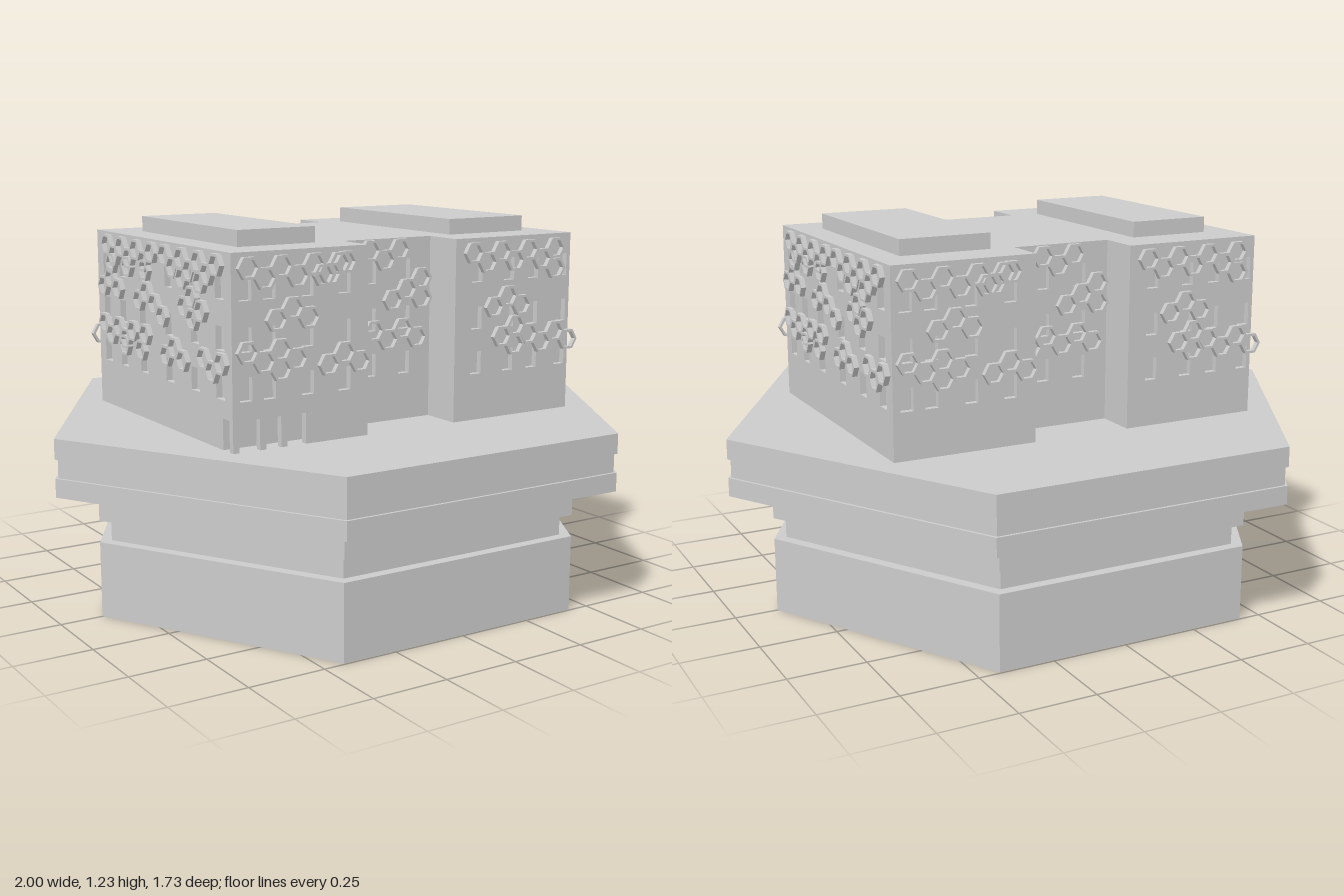
import * as THREE from 'three';
import { mergeGeometries } from 'three/addons/utils/BufferGeometryUtils.js';

const mat = new THREE.MeshStandardMaterial({ color: 0xcccccc, flatShading: true });
const W = 0.635, D = 0.467, NX = 0.165, NZ = 0.33; // wing half width, half depth, notch half width, notch depth
const FLOOR = 0.595, LOW = 0.7, EAVE = 1.17, ROOF = 1.18;
const T = 0.02;   // facade thickness, equal to the window recess
const HEX = 0.037;

function add(parent, name, geometry, x = 0, y = 0, z = 0) {
  const mesh = new THREE.Mesh(geometry, mat);
  mesh.name = name;
  mesh.position.set(x, y, z);
  parent.add(mesh);
  return mesh;
}

function polygon(points, Type = THREE.Shape) {
  return new Type(points.map(([x, y]) => new THREE.Vector2(x, y)));
}

const rect = (x0, y0, x1, y1) => [[x0, y0], [x1, y0], [x1, y1], [x0, y1]];

const hexagon = r => Array.from({ length: 6 }, (_, i) =>
  [r * Math.cos(i * Math.PI / 3), r * Math.sin(i * Math.PI / 3)]);

// Plan outline given as [x, -z], raised from y0 to y1
function storey(points, y0, y1) {
  return new THREE.ExtrudeGeometry(polygon(points), { depth: y1 - y0, bevelEnabled: false })
    .rotateX(-Math.PI / 2).translate(0, y0, 0);
}

// H-shaped plan, inset on the decorated faces; porch cuts the front right corner
function hPlan(inset, porch = 0) {
  const w = W - inset, d = D - inset, n = NZ - inset;
  const corner = porch ? [[-w, -d + porch], [-0.365, -d + porch], [-0.365, -d]] : [[-w, -d]];
  return [...corner, [-NX, -d], [-NX, -n], [NX, -n], [NX, -d], [w, -d],
    [w, d], [NX, d], [NX, n], [-NX, n], [-NX, d], [-w, d]];
}

// Honeycomb chains: start u, y, then steps to the right going up (u) or down (d)
function honeycomb(chains) {
  const shape = polygon(hexagon(HEX));
  shape.holes.push(polygon(hexagon(HEX * 0.76), THREE.Path));
  const ring = new THREE.ExtrudeGeometry(shape, { depth: 0.017, bevelEnabled: false });
  const rings = [];
  for (const [u, y, steps] of chains) {
    let px = u, py = y;
    rings.push(ring.clone().translate(px, py, 0));
    for (const s of steps) {
      px += HEX * 1.5;
      py += (s === 'u' ? 1 : -1) * HEX * Math.sqrt(3) / 2;
      rings.push(ring.clone().translate(px, py, 0));
    }
  }
  return mergeGeometries(rings);
}

// Wall slab with recessed windows in three rows, plus its honeycomb relief
function facade(parent, name, u0, u1, out, cols, winW, chains) {
  const wall = polygon(rect(u0, LOW, u1, EAVE));
  for (const y of [0.745, 0.89, 1.04]) {
    for (const u of cols) {
      wall.holes.push(polygon(rect(u - winW / 2, y, u + winW / 2, y + 0.072), THREE.Path));
    }
  }
  add(parent, name + 'Wall', new THREE.ExtrudeGeometry(wall, { depth: T, bevelEnabled: false }), 0, 0, out - T);
  add(parent, name + 'Honeycomb', honeycomb(chains), 0, 0, out);
}

const leftChains = [
  [-0.583, 1.134, 'dududu'], [-0.33, 1.10, 'u'], [-0.49, 0.978, 'ud'],
  [-0.588, 0.89, 'dud'], [-0.476, 0.83, ''], [-0.31, 0.83, 'ud'],
];
const middleChains = [
  [-0.07, 1.145, 'du'], [0.016, 0.985, 'ud'], [0.07, 1.017, 'u'], [-0.112, 0.86, 'udud'],
];
const rightChains = [
  [0.23, 1.134, 'dududu'], [0.51, 1.10, 'd'], [0.315, 0.957, 'ud'],
  [0.347, 0.86, 'uddud'], [0.40, 0.83, ''],
];
const sideChains = [
  [-0.367, 1.14, 'dududu'], [-0.335, 1.08, ''], [-0.21, 1.08, ''], [-0.085, 1.08, ''],
  [-0.4, 1.0, 'ud'], [-0.13, 0.98, 'udd'],
  [-0.4, 0.875, 'dudu'], [-0.24, 0.82, ''], [-0.12, 0.82, ''], [-0.088, 0.875, ''],
  [0.06, 1.14, 'dududu'], [0.177, 1.08, ''], [0.293, 1.08, ''],
  [0.186, 0.995, 'du'], [0.237, 1.03, ''], [0.06, 0.828, 'ud'], [0.307, 0.855, 'du'],
];

export function createModel() {
  const model = new THREE.Group();
  model.name = 'hexagonalBaseBuilding';

  // Stepped hexagonal plinth: radius, bottom, top
  const tiers = [
    ['plinthFoot', 0.86, 0, 0.245], ['plinthGroove', 0.82, 0.245, 0.315],
    ['plinthNeck', 0.86, 0.315, 0.41], ['platformLower', 1, 0.41, 0.47],
    ['platformGroove', 0.99, 0.47, 0.53], ['platformTop', 1, 0.53, FLOOR],
  ];
  for (const [name, r, y0, y1] of tiers) {
    add(model, name, new THREE.CylinderGeometry(r, r, y1 - y0, 6, 1, false, Math.PI / 2), 0, (y0 + y1) / 2, 0);
  }

  // Building body
  add(model, 'groundFloor', storey(hPlan(0, 0.06), FLOOR, LOW));
  add(model, 'upperCore', storey(hPlan(T), LOW, EAVE));
  add(model, 'roof', storey(hPlan(0), EAVE, ROOF));

  // Porch ceiling and posts at the front right corner
  add(model, 'porchCeiling', new THREE.BoxGeometry(0.27, 0.01, 0.06), -0.5, LOW - 0.005, D - 0.03);
  for (const x of [-0.624, -0.534, -0.462, -0.377]) {
    add(model, 'porchPost', new THREE.BoxGeometry(0.021, LOW - FLOOR, 0.021), x, (LOW + FLOOR) / 2, D - 0.0105);
  }

  // Decorated faces, repeated on the opposite side
  for (const [label, turn] of [['front', 0], ['back', Math.PI]]) {
    const face = new THREE.Group();
    face.name = label + 'Face';
    face.rotation.y = turn;
    facade(face, 'rightWing', -W, -NX, D, [-0.59, -0.51, -0.38, -0.25], 0.042, leftChains);
    facade(face, 'middle', -NX, NX, NZ, [-0.065, 0.065], 0.042, middleChains);
    facade(face, 'leftWing', NX, W, D, [0.25, 0.38, 0.48, 0.6], 0.042, rightChains);
    model.add(face);
  }
  for (const [label, turn] of [['left', Math.PI / 2], ['right', -Math.PI / 2]]) {
    const face = new THREE.Group();
    face.name = label + 'Face';
    face.rotation.y = turn;
    facade(face, 'side', -D + T, D - T, W, [-0.395, -0.27, -0.12, 0.065, 0.237, 0.395], 0.053, sideChains);
    model.add(face);
  }

  // Raised roof blocks
  add(model, 'rightRoofBlock', new THREE.BoxGeometry(0.27, 0.05, 0.65), -0.4, ROOF + 0.025, 0);
  add(model, 'leftRoofBlock', new THREE.BoxGeometry(0.3, 0.05, 0.65), 0.395, ROOF + 0.025, 0);
  return model;
}
